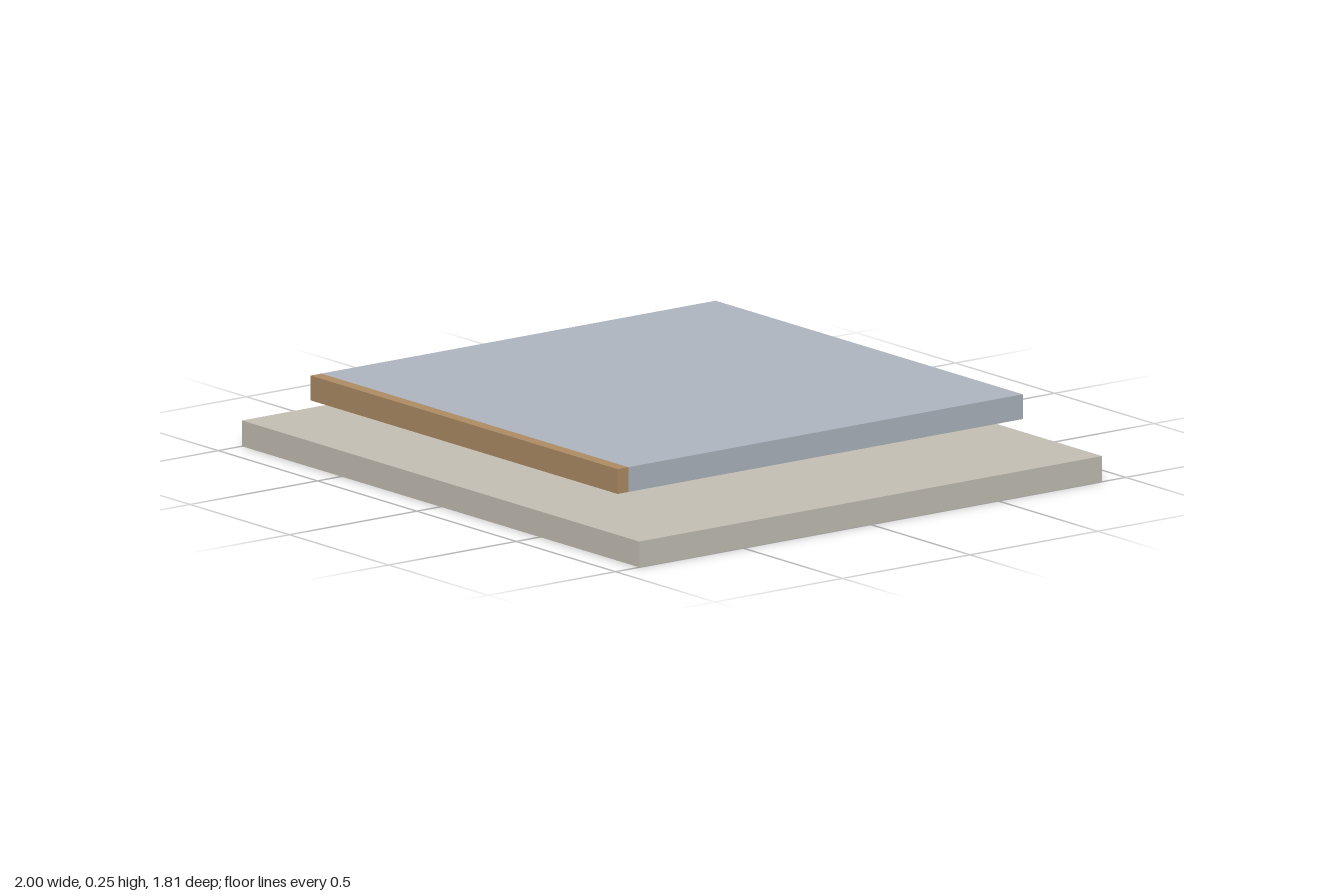
import * as THREE from 'three';

const mat = (name, color) => {
  const m = new THREE.MeshStandardMaterial({ color });
  m.name = name;
  return m;
};

export function createModel() {
  const group = new THREE.Group();
  const stone = mat('stone', 0xc6c1b6);
  const slate = mat('paleBlueGrey', 0xb0b8c2);
  const wood = mat('wood', 0xb08e65);
  const metal = mat('metal', 0xb2bac6);
  const rubber = mat('darkSteel', 0x3a3f45);

  const add = (name, geometry, material, x, y, z) => {
    const mesh = new THREE.Mesh(geometry, material);
    mesh.name = name;
    mesh.position.set(x, y, z);
    group.add(mesh);
    return mesh;
  };
  // box spanning y0..y1 and z0..z1, centred on x
  const slab = (name, material, width, y0, y1, z0, z1) =>
    add(name, new THREE.BoxGeometry(width, y1 - y0, z1 - z0), material, 0, (y0 + y1) / 2, (z0 + z1) / 2);

  // base and turntable top with its front edging
  slab('base', stone, 2, 0, 0.082, -0.907, 0.907);
  slab('top', slate, 1.546, 0.176, 0.255, -0.773, 0.773);
  slab('frontEdging', wood, 1.546, 0.176, 0.255, 0.773, 0.815);

  // swivel bearing: two square plates around a faceted ring
  slab('lowerPlate', metal, 0.68, 0.082, 0.1, -0.34, 0.34);
  slab('upperPlate', metal, 0.68, 0.158, 0.176, -0.34, 0.34);
  const ring = add('bearingRing', new THREE.TorusGeometry(0.26, 0.03, 6, 48), rubber, 0, 0.131, 0);
  ring.rotation.x = Math.PI / 2;
  add('bearingFlange', new THREE.CylinderGeometry(0.28, 0.305, 0.008, 48), rubber, 0, 0.104, 0);
  return group;
}
